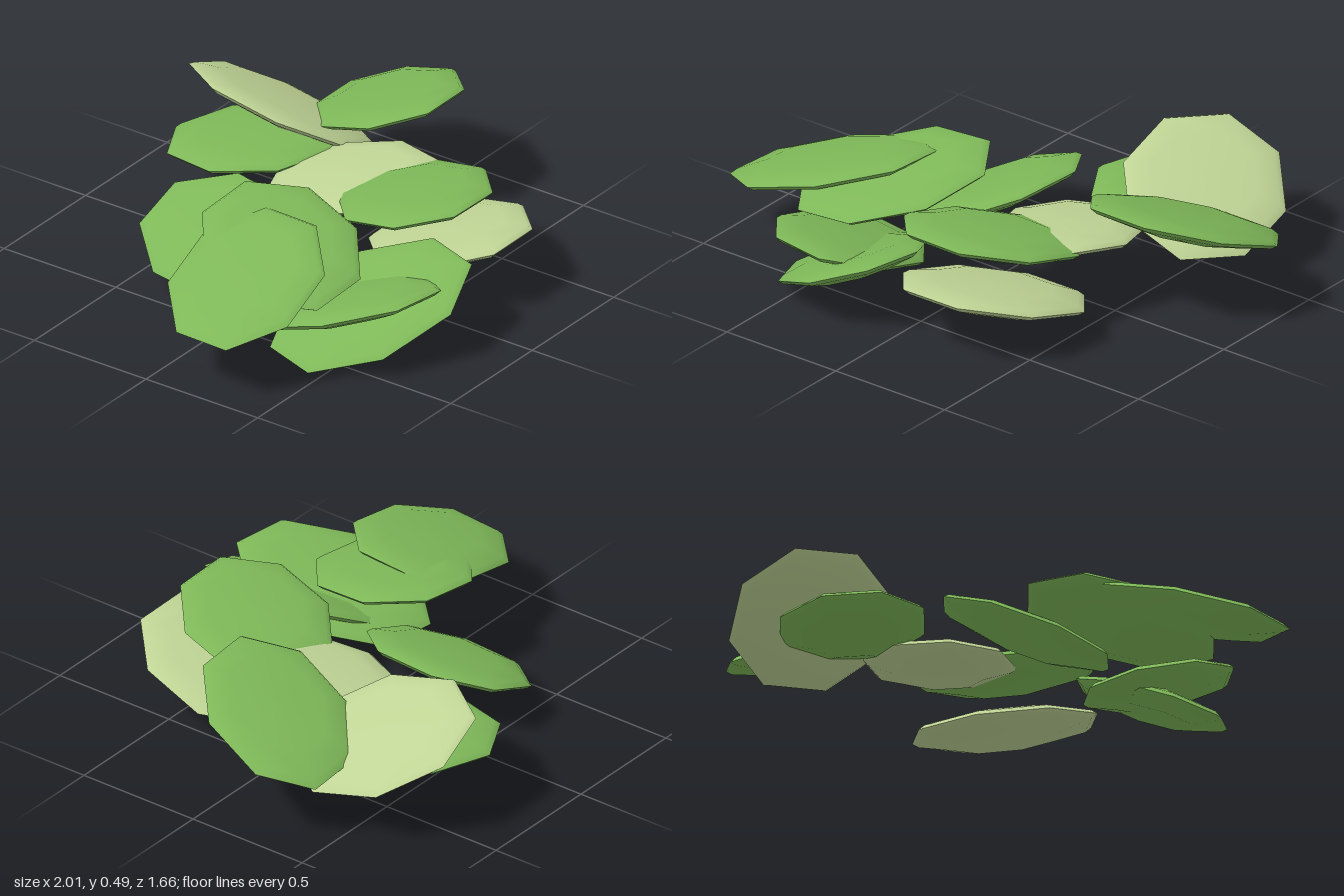
import * as THREE from 'three';

const leafGreen = new THREE.MeshStandardMaterial({ color: 0x7eb858 });
leafGreen.name = 'leafGreen';
const paleGreen = new THREE.MeshStandardMaterial({ color: 0xbfd495 });
paleGreen.name = 'paleGreen';

// Half cross-sections of a pad with unit radius, from low to high, split at the sharp rim
const toPoints = (pairs) => pairs.map(([r, y]) => new THREE.Vector2(r, y));
const TOP = toPoints([[1, 0], [0.93, 0.018], [0.65, 0.04], [0, 0.043]]);
const UNDERSIDE = toPoints([[0, -0.054], [0.58, -0.051], [0.93, -0.018], [1, 0]]);

const radians = THREE.MathUtils.degToRad;

// Adds an eight-sided oval pad: middle; half length, half width, turn of the
// long axis (degrees from +x towards +z), shift of the corners; slopes along x and z
function addLeaf(model, name, material, [x, y, z], [length, width, turn, shift], [slopeX, slopeZ]) {
  const tilt = new THREE.Matrix4().set(
    1, 0, 0, x,
    slopeX, 1, slopeZ, y,
    0, 0, 1, z,
    0, 0, 0, 1);
  const leaf = new THREE.Group();
  leaf.name = name;
  for (const [part, profile] of [['Top', TOP], ['Underside', UNDERSIDE]]) {
    const geometry = new THREE.LatheGeometry(profile, 8, Math.PI / 8)
      .rotateY(-radians(shift))
      .scale(length, 1, width)
      .rotateY(-radians(turn))
      .applyMatrix4(tilt);
    const mesh = new THREE.Mesh(geometry, material);
    mesh.name = name + part;
    leaf.add(mesh);
  }
  model.add(leaf);
}

export function createModel() {
  const model = new THREE.Group();
  model.name = 'leafPile';

  // Left side
  addLeaf(model, 'leftLeaf', leafGreen, [-0.645, 0.325, 0.19], [0.385, 0.29, -25, 22.5], [0.28, 0.04]);
  addLeaf(model, 'leftInnerLeaf', leafGreen, [-0.39, 0.34, 0.16], [0.37, 0.3, -50, 14], [0.12, -0.18]);
  addLeaf(model, 'backLeftLeaf', leafGreen, [-0.225, 0.185, -0.22], [0.36, 0.27, -75, -10], [0.38, 0]);

  // Front
  addLeaf(model, 'frontLeftLeaf', leafGreen, [-0.38, 0.19, 0.43], [0.37, 0.28, 70, 22.5], [-0.06, 0.32]);
  addLeaf(model, 'frontLowLeaf', leafGreen, [-0.305, 0.165, 0.5], [0.37, 0.28, 45, 22.5], [0.45, 0.08]);
  addLeaf(model, 'frontPaleLeaf', paleGreen, [0.28, 0.185, 0.43], [0.36, 0.3, 125, 14], [0, 0.27]);
  addLeaf(model, 'frontLeaf', leafGreen, [0.195, 0.35, 0.335], [0.34, 0.29, -45, 4], [-0.02, 0.24]);

  // Middle, right side and back
  addLeaf(model, 'middlePaleLeaf', paleGreen, [0.28, 0.27, -0.01], [0.33, 0.28, 70, 0], [0.1, 0.16]);
  addLeaf(model, 'rightLeaf', leafGreen, [0.698, 0.37, -0.155], [0.37, 0.28, -50, 10], [-0.02, 0.37]);
  addLeaf(model, 'backPaleLeaf', paleGreen, [0.52, 0.315, -0.5], [0.355, 0.285, 85, 0], [-0.46, -0.2]);
  addLeaf(model, 'backLeaf', leafGreen, [0.345, 0.25, -0.495], [0.33, 0.28, 45, 15], [0, 0.06]);

  return model;
}
